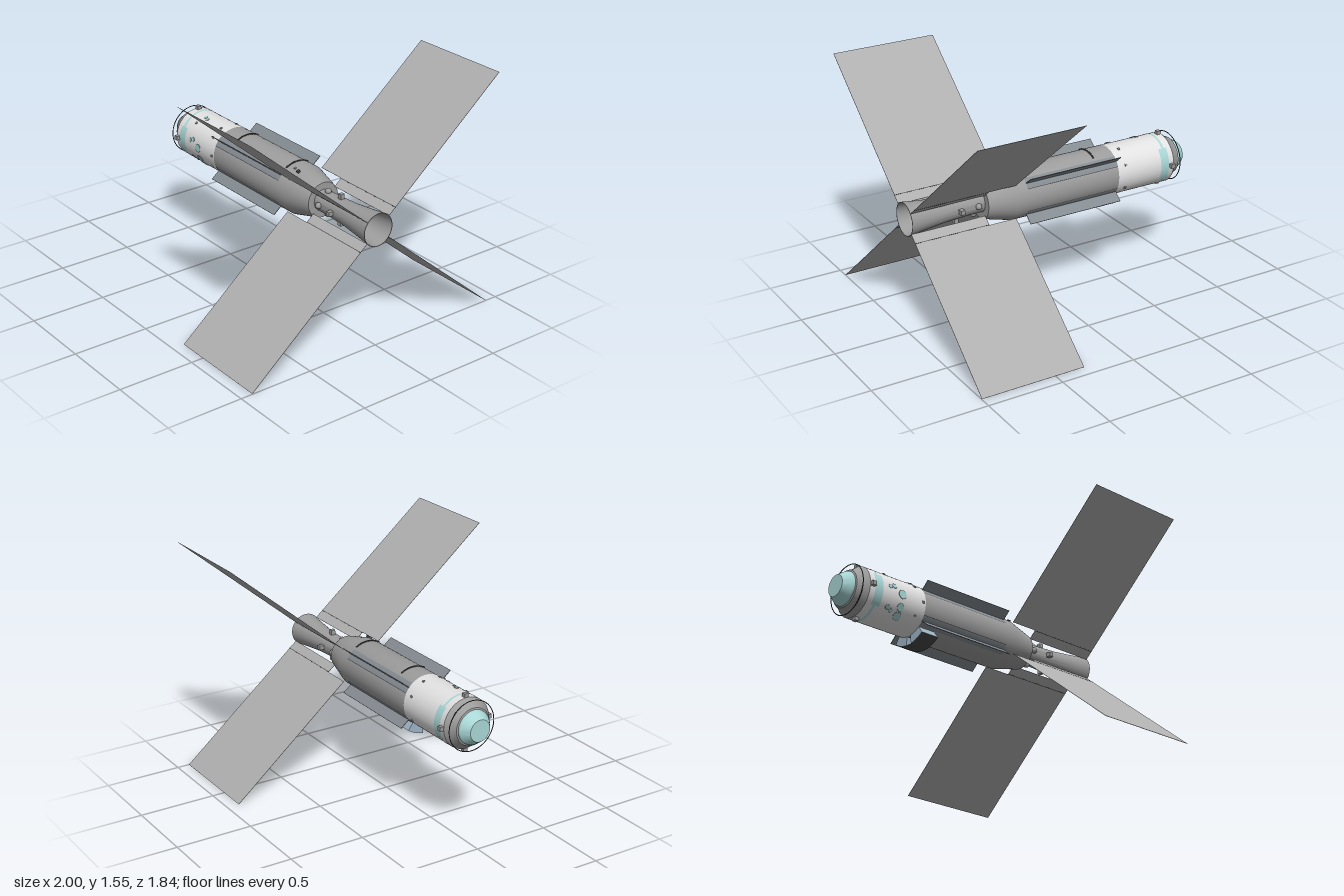
import * as THREE from 'three';
import { toCreasedNormals } from 'three/addons/utils/BufferGeometryUtils.js';

const mat = (name, color, side = THREE.FrontSide) => {
  const m = new THREE.MeshStandardMaterial({ color, side });
  m.name = name;
  return m;
};

export function createModel() {
  const white = mat('white hull', 0xe2e2e2);
  const grey = mat('grey hull', 0x9c9c9c);
  const panel = mat('panel grey', 0xb0b0b0);
  const slate = mat('slate', 0x858c92);
  const dark = mat('dark grey', 0x484848);
  const cyan = mat('pale cyan', 0xa9d6d6, THREE.DoubleSide);
  const blue = mat('steel blue', 0x9db4c6);

  const R = 0.163;
  const model = new THREE.Group();
  const ship = new THREE.Group();
  ship.name = 'spacecraft';
  ship.position.y = 0.775;
  model.add(ship);

  const add = (name, geo, material, parent = ship) => {
    const m = new THREE.Mesh(geo, material);
    m.name = name;
    parent.add(m);
    return m;
  };
  // Turned part along x; points are [x, radius]
  const turned = (name, pts, material) => {
    const g = new THREE.LatheGeometry(pts.map(([x, r]) => new THREE.Vector2(r, x)), 48);
    g.rotateZ(-Math.PI / 2);
    return add(name, toCreasedNormals(g, 0.4), material);
  };
  // Thin curved plate on the hull; angle 0 is the front, positive goes down
  const arc = (name, x0, x1, r, a0, a1, material) => {
    const n = Math.max(3, Math.ceil((a1 - a0) * 8));
    const g = new THREE.CylinderGeometry(r, r, x1 - x0, n, 1, true, a0, a1 - a0);
    g.rotateZ(-Math.PI / 2).translate((x0 + x1) / 2, 0, 0);
    return add(name, g, material);
  };
  // Place a mesh at a radius and angle, with its local z pointing outward
  const place = (mesh, x, r, a) => {
    mesh.position.set(x, -r * Math.sin(a), r * Math.cos(a));
    mesh.rotation.x = a;
    return mesh;
  };

  // Nose and docking end
  turned('noseCap', [[-1, 0], [-1, 0.07], [-0.945, 0.108], [-0.932, 0.11]], cyan);
  turned('noseCollar', [[-0.935, 0.105], [-0.93, 0.12], [-0.905, 0.13], [-0.862, R]], grey);
  const ring = add('noseRing', new THREE.TorusGeometry(0.161, 0.003, 6, 48), dark);
  ring.rotation.y = Math.PI / 2;
  ring.position.x = -0.914;

  // Hull
  turned('forwardHull', [[-0.862, R], [-0.44, R]], white);
  turned('midHull', [[-0.44, R], [0.3, R], [0.483, 0.115], [0.483, 0.06]], grey);

  // Tail tube flaring into an open nozzle
  turned('tailTube', [[0.48, 0.07], [0.58, 0.07], [0.75, 0.078], [0.9, 0.094], [1, 0.108],
    [1, 0.104], [0.9, 0.09], [0.75, 0.074], [0.7, 0.07], [0.7, 0]], grey);

  // Four solar panels with root strips, and four radiator strakes
  const tilt = Math.atan2(0.92, 0.775);
  const plate = (name, x0, x1, r0, r1, t, material, parent) => {
    const g = new THREE.BoxGeometry(x1 - x0, r1 - r0, t);
    g.translate((x0 + x1) / 2, (r0 + r1) / 2, 0);
    add(name, g, material, parent);
  };
  [tilt, -tilt, Math.PI - tilt, Math.PI + tilt].forEach((a) => {
    const wing = new THREE.Group();
    wing.name = 'wing';
    wing.rotation.x = a;
    ship.add(wing);
    plate('solarPanel', 0.3, 0.998, 0.172, 1.202, 0.002, panel, wing);
    plate('panelRoot', 0.49, 0.998, 0.106, 0.17, 0.002, panel, wing);
    plate('rootHinge', 0.49, 0.998, 0.168, 0.172, 0.004, dark, wing);
    plate('radiatorStrake', -0.44, 0.225, 0.155, 0.235, 0.004, slate, wing);
  });
  [0, Math.PI].forEach((base) => [-1, 1].forEach((s) => {
    const mid = base + s * 0.69;
    arc('strakeBase', -0.44, 0.225, R + 0.002, mid - 0.22, mid + 0.22, slate);
    const edge = base + s * 0.47;
    arc('strakeRail', -0.44, 0.225, R + 0.003, edge - 0.012, edge + 0.012, dark);
  }));

  // Thruster and sensor boxes on the four axes
  for (let i = 0; i < 4; i++) {
    const a = i * Math.PI / 2;
    place(add('noseBlock', new THREE.BoxGeometry(0.028, 0.028, 0.035), grey), -0.845, 0.168, a);
    place(add('tailBlock', new THREE.BoxGeometry(0.028, 0.028, 0.035), grey), 0.655, 0.088, a);
    const tank = add('tailTank', new THREE.SphereGeometry(0.02, 16, 10), grey);
    place(tank, 0.53, 0.075, a);
  }

  // Cyan markings round the forward hull
  arc('cyanBand', -0.81, -0.793, R + 0.001, 0, Math.PI * 2, cyan);
  [0, Math.PI].forEach((a) => {
    arc('cyanPatch', -0.825, -0.765, R + 0.002, a - 0.55, a + 0.75, cyan);
  });
  [[-0.62, 0, 0.027], [-0.62, 0.5, 0.024], [-0.62, 0.85, 0.027], [-0.71, -0.18, 0.013],
    [-0.68, -0.24, 0.015], [-0.71, 0.64, 0.014], [-0.68, 0.72, 0.012],
    [-0.7, -1.33, 0.013], [-0.67, -1.27, 0.012]].forEach(([x, a, r]) => {
    const g = new THREE.CylinderGeometry(r, r, 0.008, 20).rotateX(Math.PI / 2);
    place(add('cyanPort', g, cyan), x, R, a);
    const rim = add('portRim', new THREE.TorusGeometry(r, 0.002, 4, 20), grey);
    place(rim, x, R + 0.002, a);
  });

  // Curved handrails over the top
  [-0.295, 0.222].forEach((x) => {
    const g = new THREE.TorusGeometry(R + 0.002, 0.005, 6, 24, 1.1);
    g.rotateZ(Math.PI / 2 - 0.55).rotateY(Math.PI / 2);
    add('handrail', g, dark).position.x = x;
  });

  // Small hull fittings
  [[-0.5, -0.7], [-0.46, 0], [-0.5, -1.0], [-0.5, 0.6], [-0.5, -1.95], [-0.5, -1.2], [-0.72, -0.9],
    [-0.5, 2.6], [-0.5, 3.6], [0.28, -1.2]].forEach(([x, a]) => {
    place(add('hullFitting', new THREE.BoxGeometry(0.014, 0.014, 0.012), grey), x, R, a);
  });
  place(add('coneFitting', new THREE.BoxGeometry(0.018, 0.018, 0.02), dark), 0.32, 0.16, -1.15);

  // Belly instrument: two ring sectors with a dark outer shell
  [-1, 1].forEach((s) => {
    const mid = -Math.PI / 2 + s * 0.36;
    const shape = new THREE.Shape();
    shape.absarc(0, 0, 0.219, mid - 0.26, mid + 0.26, false);
    shape.absarc(0, 0, 0.16, mid + 0.26, mid - 0.26, true);
    const g = new THREE.ExtrudeGeometry(shape, { depth: 0.125, bevelEnabled: false, curveSegments: 8 });
    g.rotateY(Math.PI / 2).translate(-0.44, 0, 0);
    add('bellySector', g, blue);
  });
  arc('bellyShell', -0.44, -0.315, 0.221, Math.PI / 2 - 0.62, Math.PI / 2 + 0.62, dark);

  return model;
}
